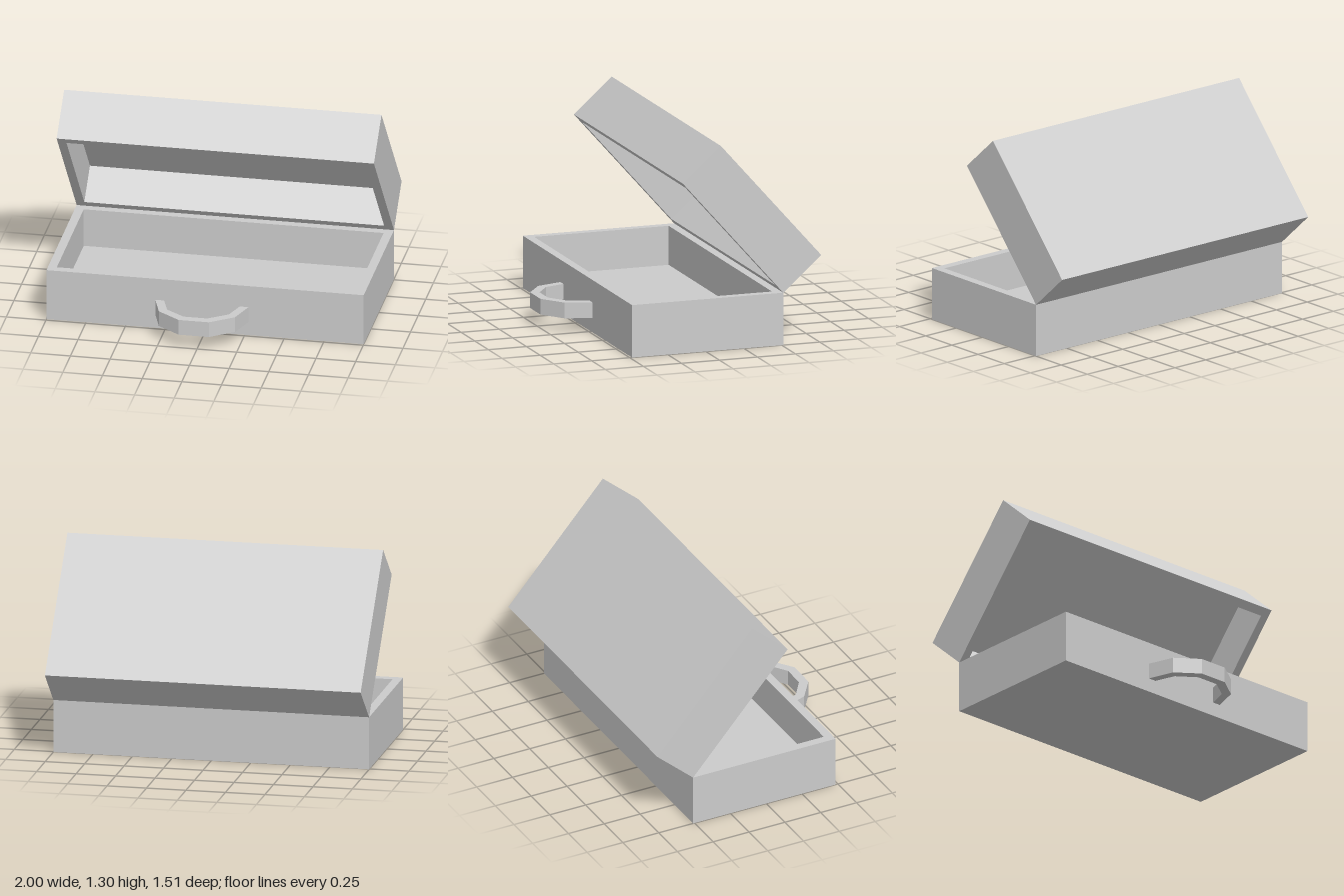
import * as THREE from 'three';

const WIDTH = 2, DEPTH = 0.995, HEIGHT = 0.333;
const WALL = 0.055, FLOOR = 0.085;
const BACK = -0.51, OPEN_ANGLE = 0.846;

const material = new THREE.MeshStandardMaterial({ color: 0xcccccc, flatShading: true });

// Open tray standing on y = 0: rectangular loops run up the outside, over the rim and down inside
function trayGeometry() {
  const loops = [[0, 0], [0, HEIGHT], [WALL, HEIGHT], [WALL, FLOOR]];
  const corners = [[-1, 1], [1, 1], [1, -1], [-1, -1]];
  const positions = [], index = [];
  for (const [inset, y] of loops) {
    for (const [sx, sz] of corners) {
      positions.push(sx * (WIDTH / 2 - inset), y, sz * (DEPTH / 2 - inset));
    }
  }
  for (let i = 0; i < loops.length - 1; i++) {
    for (let j = 0; j < 4; j++) {
      const a = i * 4 + j, b = i * 4 + (j + 1) % 4;
      index.push(a, b, b + 4, a, b + 4, a + 4);
    }
  }
  // Underside and inner floor
  index.push(0, 2, 1, 0, 3, 2, 12, 13, 14, 12, 14, 15);
  const indexed = new THREE.BufferGeometry();
  indexed.setAttribute('position', new THREE.Float32BufferAttribute(positions, 3));
  indexed.setIndex(index);
  const geometry = indexed.toNonIndexed();
  geometry.computeVertexNormals();
  return geometry;
}

// Faceted carrying handle, drawn in plan and extruded downwards
function handleGeometry() {
  const outer = [[0.295, 0.48], [0.24, 0.65], [0.095, 0.755]];
  const inner = [[0.075, 0.70], [0.195, 0.615], [0.24, 0.48]];
  const mirror = (points) => points.map(([x, z]) => [-x, z]).reverse();
  const outline = [...outer, ...mirror(outer), ...mirror(inner), ...inner];
  const shape = new THREE.Shape(outline.map(([x, z]) => new THREE.Vector2(x, z)));
  return new THREE.ExtrudeGeometry(shape, { depth: 0.1, bevelEnabled: false }).rotateX(Math.PI / 2);
}

function addMesh(parent, name, geometry) {
  const mesh = new THREE.Mesh(geometry, material);
  mesh.name = name;
  parent.add(mesh);
  return mesh;
}

export function createModel() {
  const model = new THREE.Group();
  model.name = 'openCase';
  const tray = trayGeometry();

  // Lower half
  addMesh(model, 'base', tray).position.z = BACK + DEPTH / 2;

  // Upper half: the same tray turned over and swung about the back rim
  const hinge = new THREE.Group();
  hinge.name = 'lidHinge';
  hinge.position.set(0, HEIGHT, BACK);
  hinge.rotation.x = -OPEN_ANGLE;
  const lid = addMesh(hinge, 'lid', tray);
  lid.rotation.z = Math.PI;
  lid.position.set(0, HEIGHT, DEPTH / 2);
  model.add(hinge);

  // Handle on the front wall, slightly off centre
  addMesh(model, 'handle', handleGeometry()).position.set(-0.02, 0.19, 0);

  return model;
}
